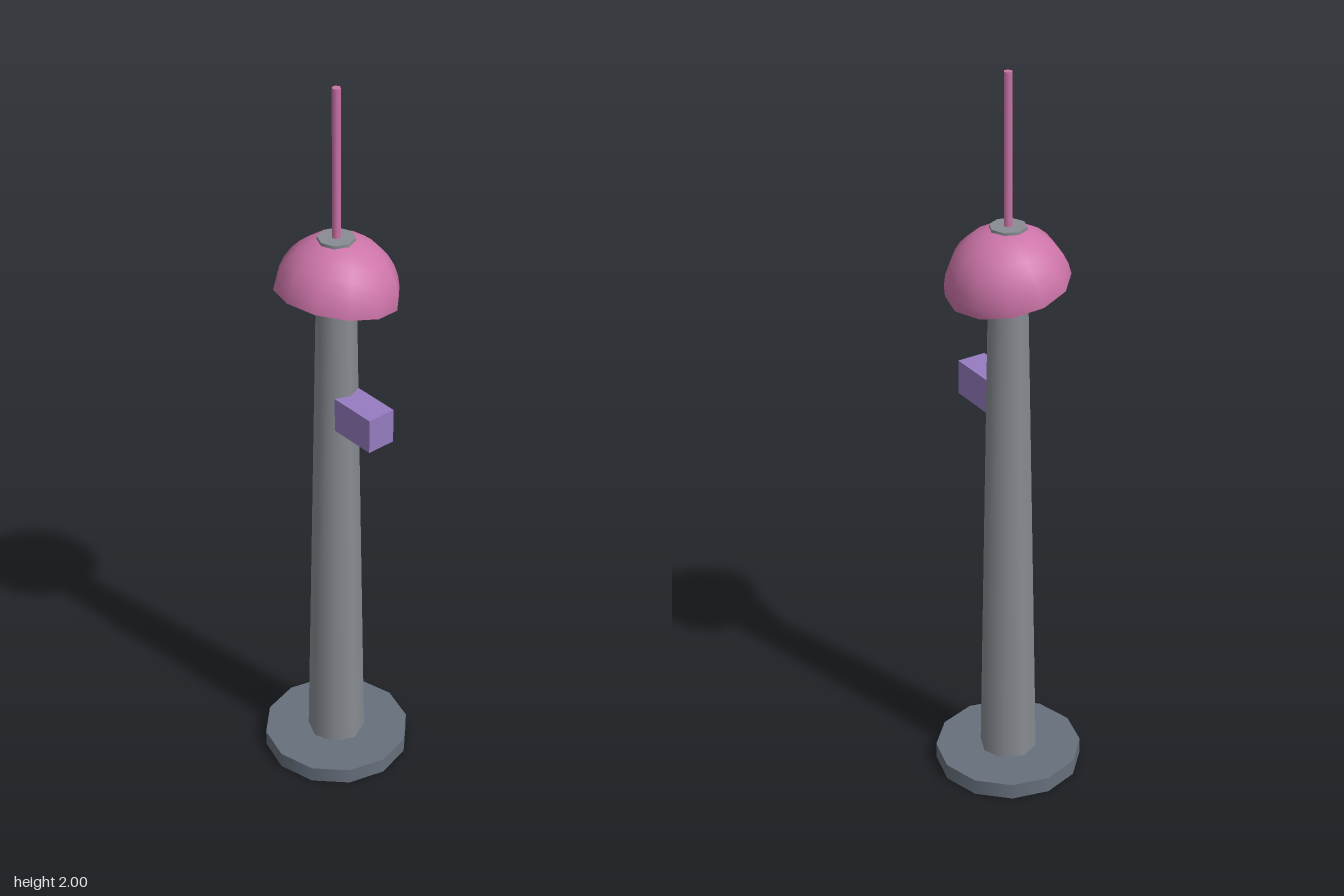
import * as THREE from 'three';

const BASE_H = 0.045;
const SHAFT_TOP = 1.603;

function part(name, geometry, color, options = {}) {
  const mesh = new THREE.Mesh(geometry, new THREE.MeshStandardMaterial({ color, ...options }));
  mesh.name = name;
  return mesh;
}

export function createModel() {
  const group = new THREE.Group();
  group.name = 'mastTower';

  // Twelve-sided foot plate
  const base = part('base', new THREE.CylinderGeometry(0.2, 0.2, BASE_H, 12), 0x67707c);
  base.position.y = BASE_H / 2;

  // Tapered eight-sided shaft, standing on the ground through the plate
  const shaft = part('shaft', new THREE.CylinderGeometry(0.048, 0.079, SHAFT_TOP, 8), 0x888c92);
  shaft.position.y = SHAFT_TOP / 2;

  // Open dome, tipped up at the front
  const dome = part('dome',
    new THREE.SphereGeometry(0.16, 12, 8, 0, Math.PI * 2, 0, Math.PI / 2),
    0xcc74a8, { side: THREE.DoubleSide });
  dome.position.y = 1.443;
  dome.rotation.x = -0.2;

  // Thin six-sided antenna on the shaft top
  const antennaH = 2 - SHAFT_TOP;
  const antenna = part('antenna', new THREE.CylinderGeometry(0.0115, 0.0115, antennaH, 6), 0xcc74a8);
  antenna.position.y = SHAFT_TOP + antennaH / 2;

  // Equipment box set into the left side of the shaft
  const box = part('sideBox', new THREE.BoxGeometry(0.155, 0.095, 0.08), 0x967cc0);
  box.position.set(0.0965, 1.122, 0);

  group.add(base, shaft, dome, antenna, box);
  return group;
}
